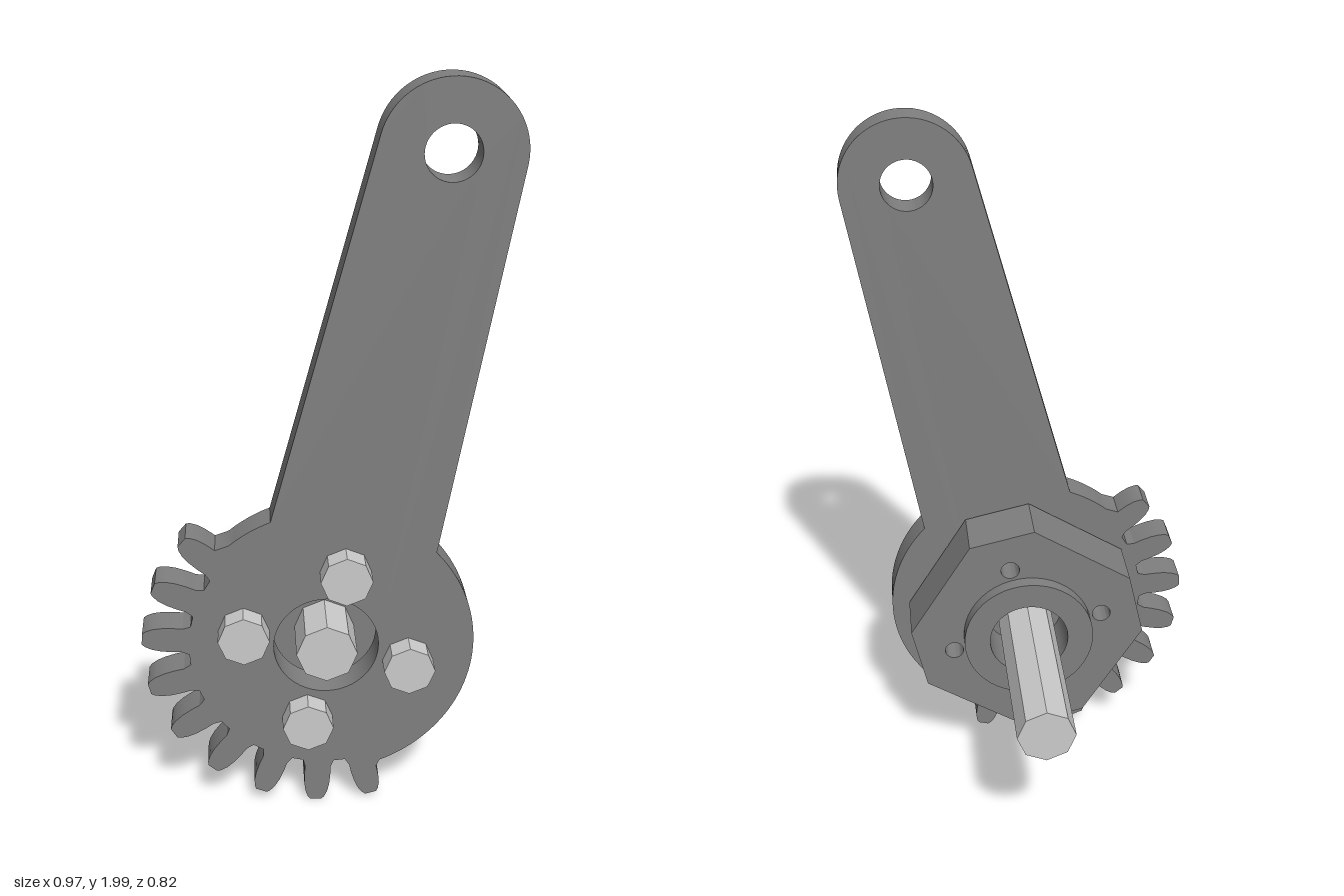
import * as THREE from 'three';
import { toCreasedNormals } from 'three/addons/utils/BufferGeometryUtils.js';

const CX = 0.006, CY = 0.5;              // main axis
const rad = THREE.MathUtils.degToRad;
const polar = (r, deg, x = CX, y = CY) =>
  new THREE.Vector2(x + r * Math.cos(rad(deg)), y + r * Math.sin(rad(deg)));
const dark = new THREE.MeshStandardMaterial({ color: 0x808080 });
const light = new THREE.MeshStandardMaterial({ color: 0xcccccc });

const BOLT_ANGLES = [77, 167, 257, 347];
const BOLT_RING = 0.225;

function arc(r, from, to, n, x = CX, y = CY) {
  return Array.from({ length: n + 1 }, (_, i) => polar(r, from + (to - from) * i / n, x, y));
}

function circleHole(r, c = new THREE.Vector2(CX, CY)) {
  return new THREE.Path().absarc(c.x, c.y, r, 0, Math.PI * 2, true);
}

// Slab cut from an outline, lying between z0 and z1
function slab(name, points, holes, z0, z1) {
  const shape = new THREE.Shape(points);
  shape.holes.push(...holes);
  const geo = new THREE.ExtrudeGeometry(shape, { depth: z1 - z0, bevelEnabled: false, curveSegments: 24 });
  geo.translate(0, 0, z0);
  const mesh = new THREE.Mesh(toCreasedNormals(geo, rad(20)), dark);
  mesh.name = name;
  return mesh;
}

// Octagonal rod along z with a corner pointing up
function octRod(name, r, x, y, z0, z1) {
  const geo = new THREE.CylinderGeometry(r, r, z1 - z0, 8).toNonIndexed();
  geo.computeVertexNormals();
  geo.rotateX(Math.PI / 2);
  const mesh = new THREE.Mesh(geo, light);
  mesh.position.set(x, y, (z0 + z1) / 2);
  mesh.name = name;
  return mesh;
}

// Lever arm, round plate and partial ring of gear teeth in one outline
function leverOutline() {
  const pts = [
    polar(0.395, 43),
    ...arc(0.18, -10.5, 164.5, 32, 0.305, 1.82),
    ...arc(0.395, 111.5, 130, 6),
  ];
  // half of a tooth profile: radius, half angle
  const flank = [[0.365, 6.6], [0.385, 5.2], [0.41, 5], [0.44, 4.5], [0.465, 3.7], [0.482, 2.7], [0.49, 1.8]];
  for (let i = 0; i < 9; i++) {
    const a = 140 + 18.1 * i;
    if (i === 0) pts.push(...flank.slice(2).map(([r, h]) => polar(r, a - h)));
    else pts.push(...flank.map(([r, h]) => polar(r, a - h)));
    const back = flank.slice(i === 8 ? 2 : 0).reverse();
    pts.push(...back.map(([r, h]) => polar(r, a + h)));
  }
  pts.push(...arc(0.395, 292, 402, 40));
  return pts;
}

export function createModel() {
  const group = new THREE.Group();
  group.name = 'gearLever';

  group.add(slab('leverPlate', leverOutline(),
    [circleHole(0.07, new THREE.Vector2(0.305, 1.82)), circleHole(0.14)], 0.26, 0.35));

  // Hub: square with cut corners, bolt holes and a blind bore from the back
  const hubOutline = [];
  for (const a of BOLT_ANGLES) hubOutline.push(polar(0.345, a - 16), polar(0.345, a + 16.3));
  const boltHoles = () => BOLT_ANGLES.map(a => circleHole(0.027, polar(BOLT_RING, a)));
  group.add(slab('hubFront', hubOutline, boltHoles(), 0.2, 0.245));
  group.add(slab('hubBody', hubOutline, [...boltHoles(), circleHole(0.115)], 0.082, 0.2));
  group.add(slab('hubCollar', arc(0.19, 0, 352.5, 47), [circleHole(0.115)], 0.042, 0.082));

  // Shaft through the middle
  group.add(octRod('shaft', 0.081, CX, CY, -0.41, 0.396));

  // Bolt heads on the front of the plate
  BOLT_ANGLES.forEach(a => {
    const p = polar(BOLT_RING, a);
    group.add(octRod('boltHead', 0.068, p.x, p.y, 0.35, 0.41));
  });
  return group;
}
